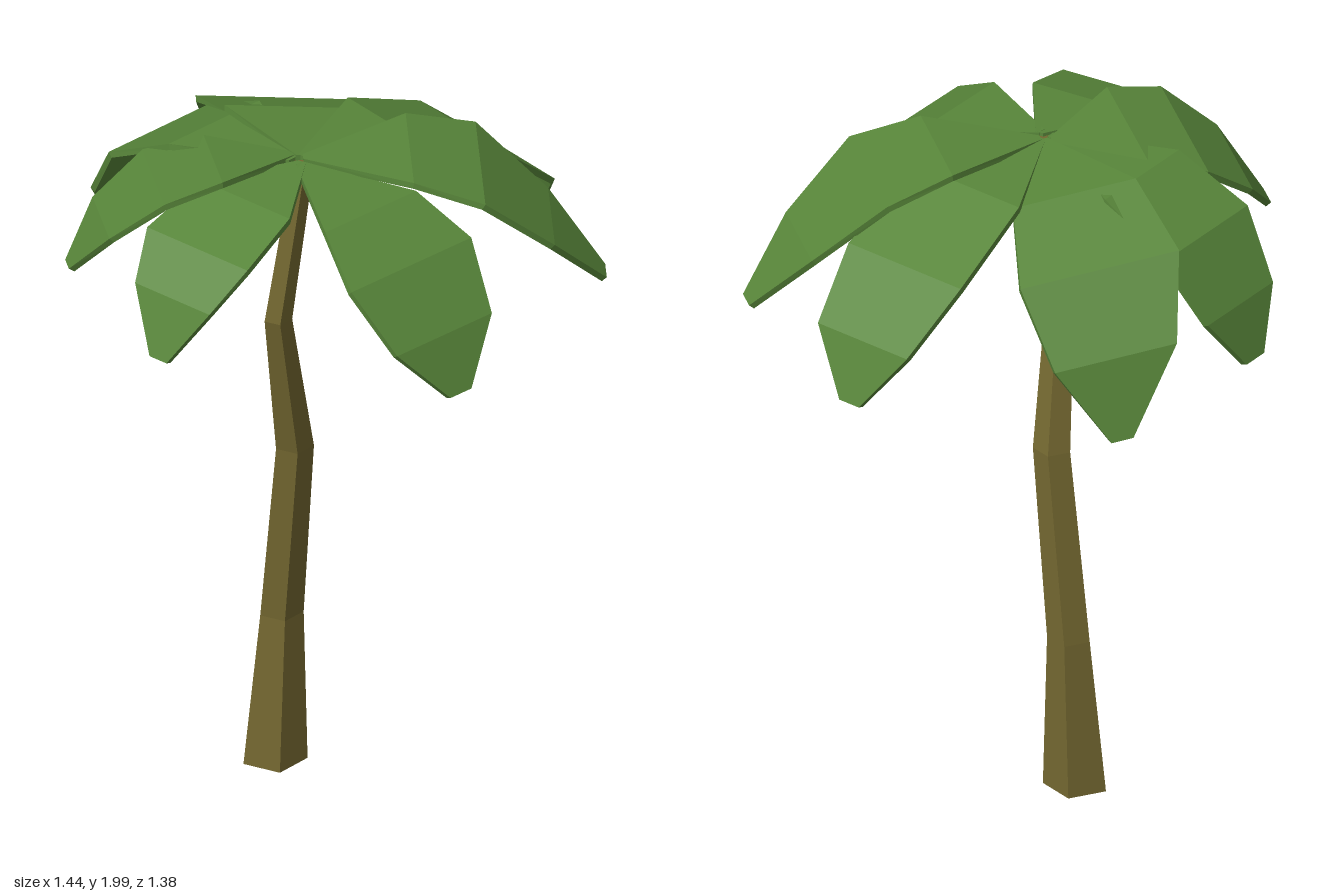
import * as THREE from 'three';

// Closed solid through rings of equal point count, counter-clockwise as seen from the far end.
function loft(rings) {
  const n = rings[0].length, last = (rings.length - 1) * n, index = [];
  for (let i = 0; i < rings.length - 1; i++) {
    for (let j = 0; j < n; j++) {
      const k = (j + 1) % n;
      const a = i * n + j, b = i * n + k, c = b + n, d = a + n;
      index.push(a, b, c, a, c, d);
    }
  }
  for (let j = 1; j < n - 1; j++) {
    index.push(0, j + 1, j, last, last + j, last + j + 1);
  }
  const geometry = new THREE.BufferGeometry();
  geometry.setAttribute('position', new THREE.Float32BufferAttribute(rings.flat(2), 3));
  geometry.setIndex(index);
  geometry.computeVertexNormals();
  return geometry;
}

// Bent five-sided trunk: each level is [x, y, z, radius].
function trunkGeometry() {
  const levels = [
    [-0.085, 0, -0.13, 0.093],
    [-0.07, 0.46, -0.118, 0.063],
    [-0.083, 1.02, -0.048, 0.055],
    [-0.185, 1.48, 0.003, 0.04],
    [-0.12, 1.95, 0.03, 0.032],
  ];
  return loft(levels.map(([x, y, z, r]) => Array.from({ length: 5 }, (_, k) => {
    const a = THREE.MathUtils.degToRad(48 + 72 * k);
    return [x + r * Math.cos(a), y, z - r * Math.sin(-a)];
  }).reverse()));
}

// Thin drooping frond along +z: each section is [distance, height, half width].
function frondGeometry(sections, roll) {
  const thickness = 0.018;
  return loft(sections.map(([d, y, w], i) => {
    const p = sections[Math.max(i - 1, 0)];
    const q = sections[Math.min(i + 1, sections.length - 1)];
    const slope = Math.atan2(q[1] - p[1], q[0] - p[0]);
    const dz = thickness * Math.sin(slope), dy = -thickness * Math.cos(slope);
    return [
      [w, y + roll * w, d],
      [-w, y - roll * w, d],
      [-w, y - roll * w + dy, d + dz],
      [w, y + roll * w + dy, d + dz],
    ];
  }));
}

// Base position, heading, sideways roll, and the four sections beyond the base.
const FRONDS = [
  { name: 'frontFrond', x: -0.13, z: 0.03, turn: 0.02, roll: 0,
    sections: [[0.29, 1.935, 0.165], [0.455, 1.84, 0.218], [0.59, 1.68, 0.172], [0.657, 1.525, 0.038]] },
  { name: 'frontLeftFrond', x: -0.1, z: 0.01, turn: 0.925, roll: 0.03,
    sections: [[0.29, 1.975, 0.177], [0.482, 1.92, 0.21], [0.675, 1.745, 0.145], [0.823, 1.568, 0.034]] },
  { name: 'leftFrond', x: -0.1, z: 0.005, turn: 1.56, roll: 0,
    sections: [[0.31, 1.945, 0.175], [0.585, 1.82, 0.197], [0.765, 1.665, 0.156], [0.822, 1.495, 0.034]] },
  { name: 'backLeftFrond', x: -0.1, z: 0, turn: 2.55, roll: 0.1,
    sections: [[0.284, 1.945, 0.174], [0.518, 1.835, 0.225], [0.667, 1.64, 0.173], [0.726, 1.415, 0.031]] },
  { name: 'backFrond', x: -0.13, z: 0, turn: -3.1, roll: 0,
    sections: [[0.31, 1.94, 0.168], [0.525, 1.83, 0.19], [0.642, 1.65, 0.148], [0.692, 1.495, 0.04]] },
  { name: 'backRightFrond', x: -0.11, z: -0.02, turn: -2.126, roll: 0.14,
    sections: [[0.22, 1.965, 0.172], [0.383, 1.92, 0.195], [0.527, 1.805, 0.148], [0.62, 1.667, 0.032]] },
  { name: 'rightFrond', x: -0.12, z: 0.03, turn: -1.413, roll: 0,
    sections: [[0.24, 1.95, 0.158], [0.44, 1.885, 0.178], [0.545, 1.775, 0.132], [0.605, 1.61, 0.03]] },
];

export function createModel() {
  const group = new THREE.Group();
  group.name = 'palmTree';
  const bark = new THREE.MeshStandardMaterial({ color: 0x736730, flatShading: true });
  const leaf = new THREE.MeshStandardMaterial({ color: 0x58863a, flatShading: true });

  const trunk = new THREE.Mesh(trunkGeometry(), bark);
  trunk.name = 'trunk';
  group.add(trunk);

  // Crown of fronds fanning out from the trunk top
  const crown = new THREE.Group();
  crown.name = 'crown';
  for (const { name, x, z, turn, roll, sections } of FRONDS) {
    const frond = new THREE.Mesh(frondGeometry([[0, 1.96, 0.012], ...sections], roll), leaf);
    frond.name = name;
    frond.position.set(x, 0, z);
    frond.rotation.y = turn;
    crown.add(frond);
  }
  group.add(crown);
  return group;
}
